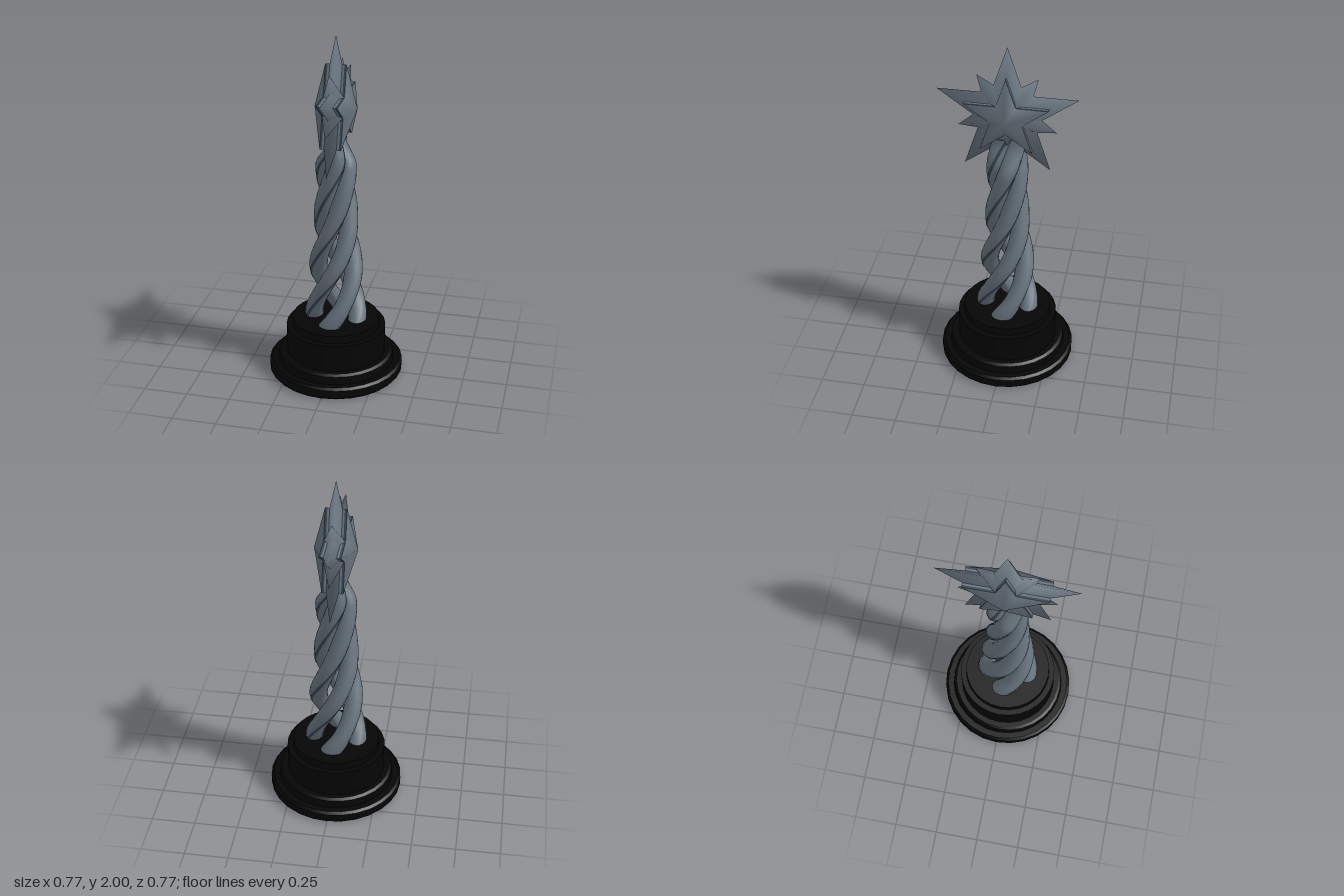
import * as THREE from 'three';
import { mergeVertices } from 'three/addons/utils/BufferGeometryUtils.js';

const material = (name, color) => {
  const m = new THREE.MeshStandardMaterial({ color });
  m.name = name;
  return m;
};
const steel = material('steel', 0x68747f);
const darkSteel = material('darkSteel', 0x364552);
const black = material('black', 0x050505);

// Rim point of a five-pointed star in the YZ plane
function starPoint(i, radius, x, dir, ratio) {
  const t = (i * Math.PI) / 5;
  const r = i % 2 ? radius * ratio : radius;
  return [x, dir * r * Math.cos(t), dir * r * Math.sin(t)];
}

function fromTriangles(pos) {
  const g = new THREE.BufferGeometry();
  g.setAttribute('position', new THREE.Float32BufferAttribute(pos, 3));
  return g;
}

// Both softly faceted faces of a star: rim at x = +-rim, peaks at x = +-apex
function starFaces(radius, rim, apex, dir = 1, ratio = 0.382) {
  const pos = [];
  for (let i = 0; i < 10; i++) {
    const p = (k, x) => starPoint(k % 10, radius, x, dir, ratio);
    pos.push(apex, 0, 0, ...p(i, rim), ...p(i + 1, rim));
    pos.push(-apex, 0, 0, ...p(i + 1, -rim), ...p(i, -rim));
  }
  const g = mergeVertices(fromTriangles(pos));
  g.computeVertexNormals();
  return g;
}

// Flat walls around a star outline between two x positions
function starWalls(radius, x0, x1) {
  const pos = [];
  for (let i = 0; i < 10; i++) {
    const p = (k, x) => starPoint(k, radius, x, 1, 0.382);
    const a = p(i, x1), b = p(i + 1, x1), c = p(i, x0), d = p(i + 1, x0);
    pos.push(...a, ...c, ...d, ...a, ...d, ...b);
  }
  const g = fromTriangles(pos);
  g.computeVertexNormals();
  return g;
}

// Piecewise linear lookup of the column radius by height
const radii = [[0.3, 0.13], [0.49, 0.112], [0.64, 0.102], [0.79, 0.088], [0.95, 0.072], [1.24, 0.063], [1.5, 0.058]];
function columnRadius(y) {
  const i = Math.max(1, radii.findIndex(([h]) => y <= h));
  const [y0, r0] = radii[i - 1], [y1, r1] = radii[i];
  return THREE.MathUtils.mapLinear(y, y0, y1, r0, r1);
}

// Sweep an oval section, from angle phi0 to phi1, up one twisted strand
function strandSurface(offset, phi0, phi1, segments, grow) {
  const g = new THREE.PlaneGeometry(1, 1, segments, 64);
  const pos = g.attributes.position;
  for (let k = 0; k < pos.count; k++) {
    const phi = THREE.MathUtils.lerp(phi0, phi1, pos.getX(k) + 0.5);
    const y = 0.3 + 1.16 * (pos.getY(k) + 0.5);
    const a = ((y - 0.64) / 0.3) * (Math.PI / 2) + offset;
    const flare = 0.014 * (1 - THREE.MathUtils.smoothstep(y, 0.33, 0.46));
    const radial = columnRadius(y) + (0.052 + grow) * Math.cos(phi);
    const tangent = (0.051 + flare + grow) * Math.sin(phi);
    // pulled in under the star at the top
    const pinch = 1 - 0.65 * THREE.MathUtils.smoothstep(y, 1.26, 1.44);
    pos.setXYZ(k,
      pinch * (radial * Math.sin(a) + tangent * Math.cos(a)), y,
      radial * Math.cos(a) - tangent * Math.sin(a));
  }
  g.computeVertexNormals();
  return g;
}

export function createModel() {
  const group = new THREE.Group();
  const add = (name, geometry, mat, y = 0) => {
    const mesh = new THREE.Mesh(geometry, mat);
    mesh.name = name;
    mesh.position.y = y;
    group.add(mesh);
  };

  // Stepped round base: top radius, bottom radius, bottom height, top height
  const tiers = [
    [0.385, 0.375, 0, 0.012], [0.385, 0.385, 0.012, 0.058], [0.37, 0.385, 0.058, 0.07],
    [0.33, 0.335, 0.07, 0.115], [0.315, 0.33, 0.115, 0.125],
    [0.285, 0.285, 0.12, 0.285], [0.25, 0.252, 0.285, 0.33],
  ];
  tiers.forEach(([top, bottom, y0, y1], i) => {
    add('baseTier' + (i + 1), new THREE.CylinderGeometry(top, bottom, y1 - y0, 28), black, (y0 + y1) / 2);
  });

  // Four strands twisted into a column, each with a dark streak along one side
  for (let i = 0; i < 4; i++) {
    const offset = (i * Math.PI) / 2;
    add('strand' + (i + 1), strandSurface(offset, -Math.PI, Math.PI, 16, 0), steel);
    add('strandStreak' + (i + 1), strandSurface(offset, 0.8, 1.15, 3, 0.002), darkSteel);
  }

  // Main star and the inverted star between its points
  add('mainStar', starFaces(0.4, 0, 0.085), steel, 1.6);
  add('invertedStar', starFaces(0.28, 0, 0.085, -1, 0.45), steel, 1.6);

  // Raised inner star on both sides, its walls edged with a dark band
  add('raisedStar', starFaces(0.24, 0.058, 0.118), steel, 1.6);
  add('raisedStarWalls', starWalls(0.24, -0.046, 0.046), steel, 1.6);
  add('raisedStarEdgeLeft', starWalls(0.24, 0.046, 0.058), darkSteel, 1.6);
  add('raisedStarEdgeRight', starWalls(0.24, -0.058, -0.046), darkSteel, 1.6);
  return group;
}
